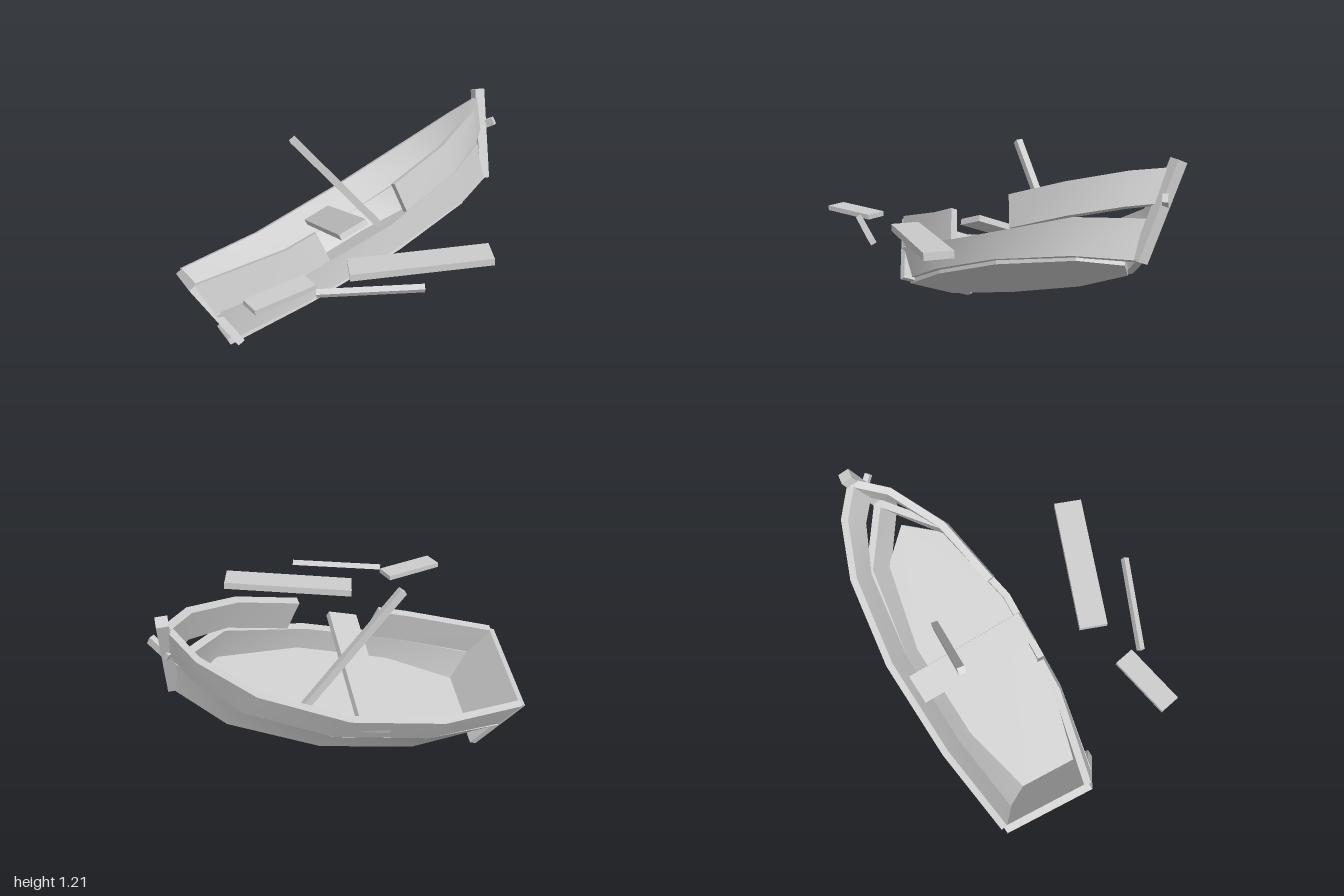
import * as THREE from 'three';
import { toCreasedNormals } from 'three/addons/utils/BufferGeometryUtils.js';

const wood = new THREE.MeshStandardMaterial({ color: 0xcccccc });
wood.name = 'weatheredWood';

function add(parent, name, geometry, x = 0, y = 0, z = 0) {
  const mesh = new THREE.Mesh(geometry, wood);
  mesh.name = name;
  mesh.position.set(x, y, z);
  parent.add(mesh);
  return mesh;
}

// Stations along the hull: [length, height, half width] at the lower edge, then at the upper edge
const LOWER = [
  [0.03, 0.03, 0.2, 0.01, 0.215, 0.275],
  [0.5, 0.023, 0.32, 0.5, 0.175, 0.36],
  [1.085, 0.023, 0.338, 1.085, 0.168, 0.372],
  [1.59, 0.018, 0.222, 1.61, 0.21, 0.265],
  [1.86, 0.012, 0.015, 1.91, 0.224, 0.015],
];
const UPPER = [
  [0.01, 0.225, 0.272, -0.01, 0.425, 0.285],
  [0.5, 0.175, 0.36, 0.5, 0.357, 0.383],
  [1.085, 0.17, 0.372, 1.085, 0.353, 0.402],
  [1.59, 0.215, 0.285, 1.59, 0.392, 0.312],
  [1.85, 0.262, 0.14, 1.89, 0.437, 0.165],
  [1.97, 0.295, 0.012, 2.035, 0.472, 0.012],
];

// Cut a run of stations between two lengths
function slice(rows, from, to) {
  const at = (l) => {
    const i = rows.findIndex((r, k) => k > 0 && r[0] >= l);
    const a = rows[i - 1], b = rows[i], t = (l - a[0]) / (b[0] - a[0]);
    return a.map((v, k) => v + (b[k] - v) * t);
  };
  return [at(from), ...rows.filter((r) => r[0] > from && r[0] < to), at(to)];
}

// Bent plank swept through the stations, thickened inward
function strake(rows, side, thick = 0.04) {
  const pos = [], idx = [];
  const n = rows.length;
  rows.forEach((r, i) => {
    const p = rows[Math.max(i - 1, 0)], q = rows[Math.min(i + 1, n - 1)];
    const inward = new THREE.Vector2(q[2] - p[2], p[0] - q[0]).normalize().multiplyScalar(thick);
    const [lb, ub, wb, lt, ut, wt] = r;
    pos.push(lb, ub, side * wb, lt, ut, side * wt);
    pos.push(lt + inward.x, ut, side * (wt + inward.y), lb + inward.x, ub, side * (wb + inward.y));
  });
  const tri = (a, b, c) => (side > 0 ? idx.push(a, b, c) : idx.push(a, c, b));
  const quad = (a, b, c, d) => { tri(a, b, c); tri(a, c, d); };
  for (let i = 0; i < n - 1; i++) {
    for (let j = 0; j < 4; j++) {
      const k = (j + 1) % 4, s = i * 4;
      quad(s + j, s + 4 + j, s + 4 + k, s + k);
    }
  }
  quad(0, 1, 2, 3);
  const e = (n - 1) * 4;
  quad(e + 3, e + 2, e + 1, e);
  const g = new THREE.BufferGeometry();
  g.setAttribute('position', new THREE.Float32BufferAttribute(pos, 3));
  g.setIndex(idx);
  return toCreasedNormals(g, 0.7);
}

// Straight board whose length runs from one point to another
function board(parent, name, from, to, thick, width, roll = 0) {
  const a = new THREE.Vector3(...from), b = new THREE.Vector3(...to);
  const along = b.clone().sub(a);
  const x = along.clone().normalize();
  const z = new THREE.Vector3().crossVectors(x, new THREE.Vector3(0, 1, 0)).normalize();
  const y = new THREE.Vector3().crossVectors(z, x);
  const geo = new THREE.BoxGeometry(along.length(), thick, width).rotateX(roll);
  const mesh = add(parent, name, geo);
  mesh.quaternion.setFromRotationMatrix(new THREE.Matrix4().makeBasis(x, y, z));
  mesh.position.copy(a.add(b).multiplyScalar(0.5));
}

export function createModel() {
  const model = new THREE.Group();
  model.name = 'wreckedRowboat';

  // Hull in its own frame: x to the bow, y up, z across; then heeled and pitched
  const hull = new THREE.Group();
  hull.name = 'hull';
  const bow = new THREE.Vector3(0.936, 0.3235, -0.139).normalize();
  const across = new THREE.Vector3(0, 0.37, 0.93);
  across.addScaledVector(bow, -across.dot(bow)).normalize();
  const up = new THREE.Vector3().crossVectors(across, bow);
  hull.quaternion.setFromRotationMatrix(new THREE.Matrix4().makeBasis(bow, up, across));
  hull.position.set(-0.81, 0.084, -0.094);
  model.add(hull);

  // Flat bottom
  const half = [[0, 0.17], [0.5, 0.29], [1.08, 0.315], [1.585, 0.19]];
  const outline = [...half, [1.745, 0], ...half.map(([l, w]) => [l, -w]).reverse()];
  const shape = new THREE.Shape(outline.map(([l, w]) => new THREE.Vector2(l, w)));
  const floor = new THREE.ExtrudeGeometry(shape, { depth: 0.036, bevelEnabled: false });
  add(hull, 'bottom', floor.rotateX(Math.PI / 2), 0, 0.036, 0);

  // Side planks: the upper one on the left side of the hull is broken in the middle
  add(hull, 'lowerStrakeNear', strake(LOWER, 1));
  add(hull, 'lowerStrakeFar', strake(LOWER, -1));
  add(hull, 'upperStrakeFar', strake(UPPER, -1));
  add(hull, 'upperStrakeNearStern', strake(slice(UPPER, 0.01, 0.69), 1));
  add(hull, 'upperStrakeNearBow', strake(slice(UPPER, 1.21, 1.97), 1));

  // Raked transom, stem post and splintered plank end
  add(hull, 'transom', new THREE.BoxGeometry(0.045, 0.415, 0.54), 0.015, 0.212, 0).rotation.z = 0.187;
  add(hull, 'stemPost', new THREE.BoxGeometry(0.06, 0.54, 0.065), 1.95, 0.26, 0).rotation.z = -0.41;
  add(hull, 'splinteredEnd', new THREE.BoxGeometry(0.03, 0.045, 0.13), 2.0, 0.3, 0.01).rotation.y = 0.7;

  // Thwart
  add(hull, 'seat', new THREE.BoxGeometry(0.175, 0.035, 0.765), 0.884, 0.26, 0);

  // Pole leaning inside the boat
  board(model, 'leaningPole', [-0.275, 1.115, -0.405], [0.24, 0.47, -0.39], 0.04, 0.04);

  // Loose boards beside the boat
  board(model, 'longLooseBoard', [-0.217, 0.715, 0.385], [0.51, 0.765, 0.565], 0.04, 0.155);
  board(model, 'shortLooseBoard', [-0.785, 0.733, 0.56], [-0.445, 0.737, 0.455], 0.028, 0.115);
  board(model, 'looseStick', [-0.445, 0.735, 0.558], [0.07, 0.75, 0.715], 0.032, 0.032, 0.5);

  return model;
}
